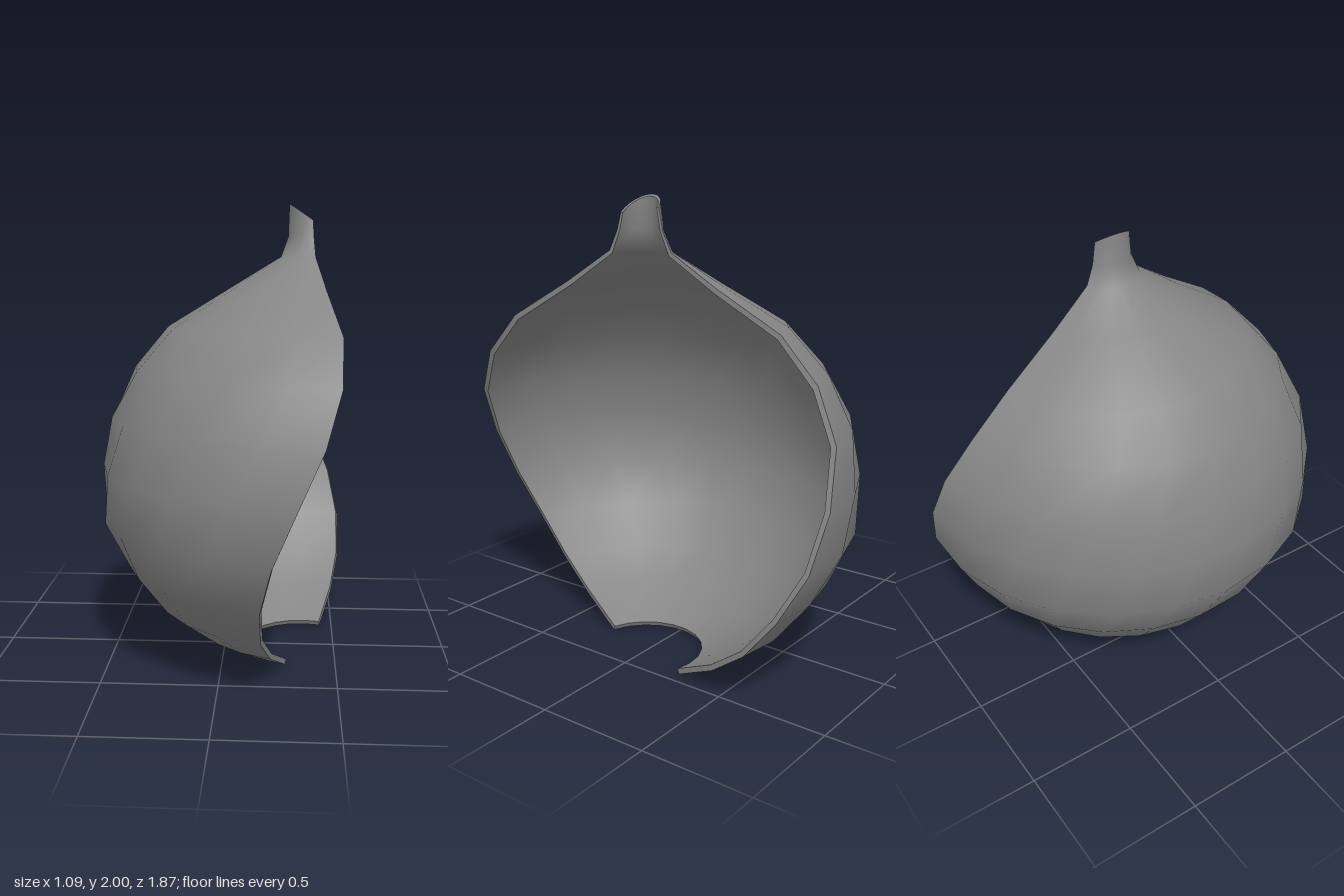
import * as THREE from 'three';

const AXIS_X = 0.362, SEGMENTS = 11;

// Outer profile from the base opening up to the neck:
// [radius, height, flattening in the middle of the arc, wall thickness]
const outerProfile = [
  [0.265, 0, 0, 0.024], [0.49, 0.11, 0.01, 0.024], [0.67, 0.24, 0.015, 0.024], [0.815, 0.42, 0.02, 0.024],
  [0.918, 0.63, 0.015, 0.024], [0.938, 0.86, 0.036, 0.024], [0.9, 1.09, 0.042, 0.024],
  [0.785, 1.295, 0.032, 0.024], [0.613, 1.475, 0.005, 0.024], [0.34, 1.64, 0, 0.022],
  [0.14, 1.775, 0.16, 0.017], [0.103, 1.86, 0.15, 0.012], [0.086, 1.937, 0.03, 0.01],
];

// Same profile moved inward along its normals
const innerProfile = outerProfile.map(([r, y, flat, thickness], i) => {
  const [r0, y0] = outerProfile[Math.max(i - 1, 0)];
  const [r1, y1] = outerProfile[Math.min(i + 1, outerProfile.length - 1)];
  const len = Math.hypot(r1 - r0, y1 - y0);
  return [r - thickness * (y1 - y0) / len, y + thickness * (r1 - r0) / len, flat];
});

// Sweeps a profile half way round the axis, twisting with height
function sweep(profile) {
  return profile.map(([r, y, flat], i) => Array.from({ length: SEGMENTS + 1 }, (_, j) => {
    const arc = Math.PI * j / SEGMENTS;
    const twist = Math.min(21 * Math.tanh(1.35 * (y - 0.95)), 12.5);
    const angle = arc - THREE.MathUtils.degToRad(twist);
    const radius = r * (1 - flat * Math.sin(arc));
    const x = AXIS_X - radius * Math.sin(angle);
    // The neck is cut off at a slant
    const slant = i === profile.length - 1 ? -0.7 * (x - 0.37) : 0;
    return new THREE.Vector3(x, y + slant, radius * Math.cos(angle));
  }));
}

// Smooth surface through rows of points
function surface(name, rows, material) {
  const n = rows[0].length, index = [];
  for (let i = 0; i < rows.length - 1; i++) {
    for (let j = 0; j < n - 1; j++) {
      const a = i * n + j, b = a + n;
      index.push(a, b, a + 1, a + 1, b, b + 1);
    }
  }
  const geometry = new THREE.BufferGeometry().setFromPoints(rows.flat());
  geometry.setIndex(index);
  geometry.computeVertexNormals();
  const mesh = new THREE.Mesh(geometry, material);
  mesh.name = name;
  return mesh;
}

export function createModel() {
  const group = new THREE.Group();
  group.name = 'twistedHalfShell';
  const material = new THREE.MeshStandardMaterial({ color: 0x858585 });
  const outer = sweep(outerProfile), inner = sweep(innerProfile);
  const column = (rows, j) => rows.map((row) => row[j]);
  const last = outer.length - 1;

  // Skin
  group.add(surface('outerSkin', outer, material));
  group.add(surface('innerSkin', [...inner].reverse(), material));

  // Rims closing the thickness along every cut
  group.add(surface('frontRim', [column(outer, 0), column(inner, 0)], material));
  group.add(surface('backRim', [column(inner, SEGMENTS), column(outer, SEGMENTS)], material));
  group.add(surface('baseRim', [inner[0], outer[0]], material));
  group.add(surface('neckRim', [outer[last], inner[last]], material));
  return group;
}
